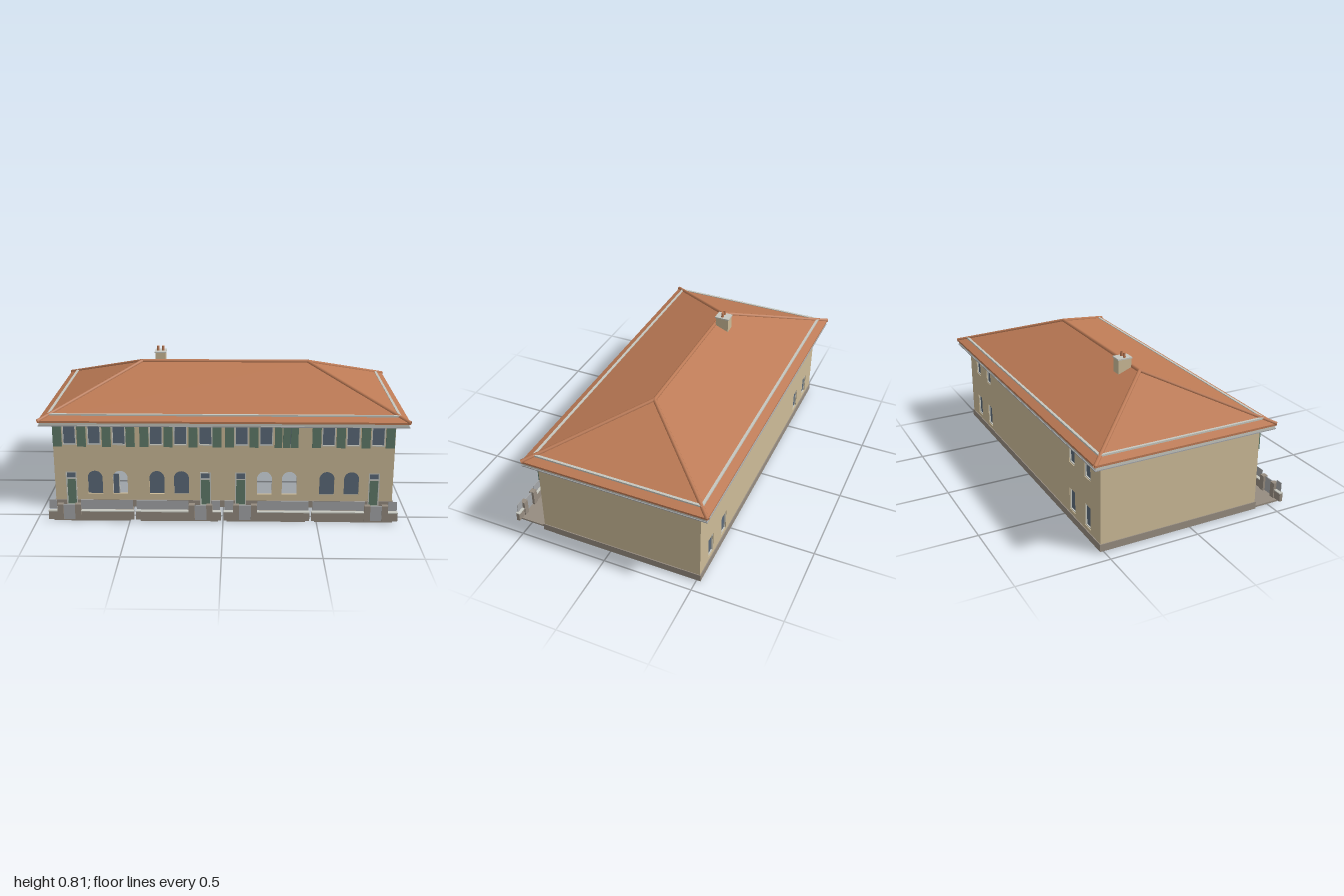
import * as THREE from 'three';

const mat = (name, color, double) => {
  const m = new THREE.MeshStandardMaterial({ color });
  m.name = name;
  if (double) m.side = THREE.DoubleSide;
  return m;
};

export function createModel() {
  const M = {
    wall: mat('cream plaster', 0xccbb98),
    roof: mat('terracotta', 0xbc7a55, true),
    glass: mat('blue grey glass', 0x5c6a7a),
    green: mat('green paint', 0x607c6a),
    stone: mat('taupe stone', 0x968c80),
    metal: mat('grey panel', 0xa5a7a9, true),
    trim: mat('pale trim', 0xc6c7bf),
  };
  const house = new THREE.Group();
  house.name = 'house';

  const add = (name, geo, material) => {
    const mesh = new THREE.Mesh(geo, material);
    mesh.name = name;
    house.add(mesh);
    return mesh;
  };
  // Box given by its limits on each axis
  const box = (name, material, x0, x1, y0, y1, z0, z1) => {
    const mesh = add(name, new THREE.BoxGeometry(x1 - x0, y1 - y0, z1 - z0), material);
    mesh.position.set((x0 + x1) / 2, (y0 + y1) / 2, (z0 + z1) / 2);
    return mesh;
  };
  // Outline of an opening, with an optional round head
  const outline = (o, grow = 0) => {
    const s = new THREE.Shape(), h = o.w / 2 + grow, y0 = o.y0 - grow, y1 = o.y1 + grow;
    s.moveTo(o.x - h, y0);
    s.lineTo(o.x + h, y0);
    if (o.arch) {
      s.lineTo(o.x + h, y1 - h);
      s.absarc(o.x, y1 - h, h, 0, Math.PI, false);
    } else {
      s.lineTo(o.x + h, y1);
      s.lineTo(o.x - h, y1);
    }
    s.closePath();
    return s;
  };
  const plate = (name, material, shape, depth, z) => {
    const geo = new THREE.ExtrudeGeometry(shape, { depth, bevelEnabled: false, curveSegments: 12 });
    const mesh = add(name, geo, material);
    mesh.position.z = z;
    return mesh;
  };
  const rect = (x0, x1, y0, y1) => outline({ x: (x0 + x1) / 2, w: x1 - x0, y0, y1 });

  const X = 0.93, ZF = 0.4, ZB = -0.52, T = 0.015;

  // Openings of the front and back walls
  const upper = [-0.84, -0.705, -0.57, -0.368, -0.235, -0.098, 0.098, 0.232, 0.365, 0.57, 0.703, 0.838]
    .map(x => ({ x, w: 0.075, y0: 0.37, y1: 0.49 }));
  const arches = [-0.708, -0.57, -0.367, -0.232, 0.225, 0.362, 0.568, 0.703]
    .map(x => ({ x, w: 0.082, y0: 0.085, y1: 0.22, arch: true }));
  const doors = [-0.84, -0.1, 0.094, 0.827].map(x => ({ x, w: 0.06, y0: 0.015, y1: 0.215 }));
  const rear = [];
  for (const x of [-0.788, -0.608, 0.608, 0.788])
    for (const y0 of [0.07, 0.345]) rear.push({ x, w: 0.066, y0, y1: y0 + 0.125 });

  const wall = (name, holes, z) => {
    const s = rect(-X, X, 0.01, 0.5);
    for (const o of holes) s.holes.push(outline(o));
    plate(name, M.wall, s, T, z);
  };
  wall('frontWall', [...upper, ...arches, ...doors], ZF - T);
  wall('backWall', rear, ZB);
  for (const s of [-1, 1])
    box('sideWall', M.wall, s < 0 ? -X : X - T, s < 0 ? -X + T : X, 0.01, 0.5, ZB + T, ZF - T);

  // Pale frames and glazing
  const frame = (name, o, z) => {
    const s = outline(o);
    s.holes.push(outline(o, -0.006));
    plate(name, M.trim, s, 0.008, z);
  };
  for (const o of upper) {
    frame('upperWindowFrame', o, ZF - 0.006);
    plate('upperWindowGlass', M.glass, outline(o), 0.004, ZF - 0.013);
  }
  for (const o of rear) {
    frame('rearWindowFrame', o, ZB + 0.004);
    plate('rearWindowGlass', M.glass, outline(o), 0.004, ZB + 0.01);
  }
  arches.forEach((o, i) => {
    if (i === 4 || i === 5) return; // open arches
    if (i === 1) { // half glazed arch
      plate('archLeaf', M.glass, rect(o.x - 0.038, o.x - 0.008, o.y0, 0.198), 0.004, ZF - 0.013);
      box('archLeafFrame', M.trim, o.x - 0.008, o.x - 0.003, o.y0, 0.2, ZF - 0.014, ZF - 0.008);
    } else plate('archGlass', M.glass, outline(o), 0.004, ZF - 0.013);
  });

  // Doors with a glazed light above
  for (const o of doors) {
    frame('doorFrame', o, ZF - 0.006);
    plate('doorLeaf', M.green, rect(o.x - 0.029, o.x + 0.029, o.y0, 0.17), 0.006, ZF - 0.014);
    box('doorTransom', M.trim, o.x - 0.029, o.x + 0.029, 0.168, 0.174, ZF - 0.014, ZF - 0.004);
    plate('doorLight', M.glass, rect(o.x - 0.029, o.x + 0.029, 0.174, 0.214), 0.004, ZF - 0.013);
  }

  // Shutters in the gaps beside the upper windows, one pair closed
  const shutterX = [-0.905, -0.773, -0.637, -0.507, -0.432, -0.301, -0.166, -0.035,
    0.033, 0.165, 0.298, 0.343, 0.386, 0.505, 0.636, 0.771, 0.903];
  for (const x of shutterX) {
    const h = x > 0.29 && x < 0.39 ? 0.02 : 0.024;
    box('shutter', M.green, x - h, x + h, 0.362, 0.496, ZF, ZF + 0.007);
  }

  // Plinth, broken at the doors
  const P = 0.005;
  box('backPlinth', M.stone, -X - P, X + P, 0.01, 0.05, ZB - P, ZB);
  for (const s of [-1, 1])
    box('sidePlinth', M.stone, s < 0 ? -X - P : X, s < 0 ? -X : X + P, 0.01, 0.05, ZB, ZF + P);
  let from = -X;
  for (const o of [...doors, { x: X, w: 0 }]) {
    box('frontPlinth', M.stone, from, o.x - o.w / 2, 0.01, 0.05, ZF, ZF + P);
    from = o.x + o.w / 2;
  }

  // Hipped roof with a short vertical edge
  const RX = 0.995, RF = 0.455, RB = -0.58, RZ = -0.0625, EY = 0.524, LY = 0.513;
  const eave = [[-RX, RF], [RX, RF], [RX, RB], [-RX, RB]];
  const ridge = [[-0.48, 0.726, RZ], [0.48, 0.726, RZ]];
  const pos = [];
  const face = (...p) => {
    for (let i = 1; i < p.length - 1; i++) pos.push(...p[0], ...p[i], ...p[i + 1]);
  };
  eave.forEach((a, i) => {
    const b = eave[(i + 1) % 4];
    const A = [a[0], EY, a[1]], B = [b[0], EY, b[1]];
    const tops = [[ridge[1], ridge[0]], [ridge[1]], [ridge[0], ridge[1]], [ridge[0]]][i];
    face(A, B, ...tops);
    face([a[0], LY, a[1]], [b[0], LY, b[1]], B, A);
  });
  const roofGeo = new THREE.BufferGeometry();
  roofGeo.setAttribute('position', new THREE.Float32BufferAttribute(pos, 3));
  roofGeo.computeVertexNormals();
  add('roof', roofGeo, M.roof);

  // Ridge and hip tiles
  const cap = (name, a, b) => {
    const A = new THREE.Vector3(...a), B = new THREE.Vector3(...b);
    add(name, new THREE.TubeGeometry(new THREE.LineCurve3(A, B), 1, 0.011, 8), M.roof);
  };
  cap('ridgeTiles', ridge[0], ridge[1]);
  eave.forEach(([x, z]) => cap('hipTiles', [x, EY - 0.002, z], ridge[x < 0 ? 0 : 1]));

  // Flat rectangular rings: soffit, gutter lip and snow guard
  const ring = (name, material, out, inn, y0, y1) => {
    const s = rect(out[0], out[1], out[2], out[3]);
    s.holes.push(rect(inn[0], inn[1], inn[2], inn[3]));
    const geo = new THREE.ExtrudeGeometry(s, { depth: y1 - y0, bevelEnabled: false });
    geo.rotateX(-Math.PI / 2);
    add(name, geo, material).position.y = y0;
  };
  const edge = d => [-RX + d, RX - d, -RF + d, -RB - d];
  ring('soffit', M.trim, edge(0.005), [-X, X, -ZF, -ZB], 0.498, 0.514);
  ring('gutterLip', M.metal, edge(0.001), edge(0.02), 0.493, 0.498);
  ring('snowGuard', M.trim, edge(0.043), edge(0.057), 0.53, 0.55);

  // Chimney with two pots
  box('chimney', M.wall, -0.404, -0.346, 0.66, 0.772, -0.147, -0.07);
  box('chimneyCap', M.trim, -0.408, -0.342, 0.772, 0.779, -0.151, -0.066);
  for (const x of [-0.391, -0.361]) {
    const pot = add('chimneyPot', new THREE.CylinderGeometry(0.007, 0.008, 0.028, 12), M.roof);
    pot.position.set(x, 0.792, -0.106);
  }

  // Terrace paving
  for (const [a, b] of [[-0.91, -0.498], [-0.445, -0.026], [0.02, 0.44], [0.49, 0.907]])
    box('terrace', M.stone, a, b, 0, 0.01, ZF, 0.572);

  // Garden wall with coping and thin screens
  const sections = [[-0.935, -0.885], [-0.765, -0.477], [-0.467, -0.18], [-0.065, -0.01],
    [0.004, 0.06], [0.178, 0.462], [0.472, 0.76], [0.875, 0.932]];
  for (const [a, b] of sections) {
    box('gardenWall', M.stone, a, b, 0.01, 0.056, 0.563, 0.581);
    box('wallCoping', M.trim, a, b, 0.056, 0.061, 0.56, 0.584);
    box('gardenScreen', M.metal, a + 0.005, b - 0.005, 0.068, 0.12, 0.5705, 0.5735);
  }

  // Gates between paired posts
  for (const x of [-0.823, -0.12, 0.118, 0.816]) {
    for (const s of [-1, 1]) {
      const c = x + s * 0.047;
      box('gatePost', M.stone, c - 0.016, c + 0.016, 0.01, 0.098, 0.557, 0.585);
    }
    box('gate', M.metal, x - 0.031, x + 0.031, 0.01, 0.095, 0.571, 0.577);
  }
  return house;
}
